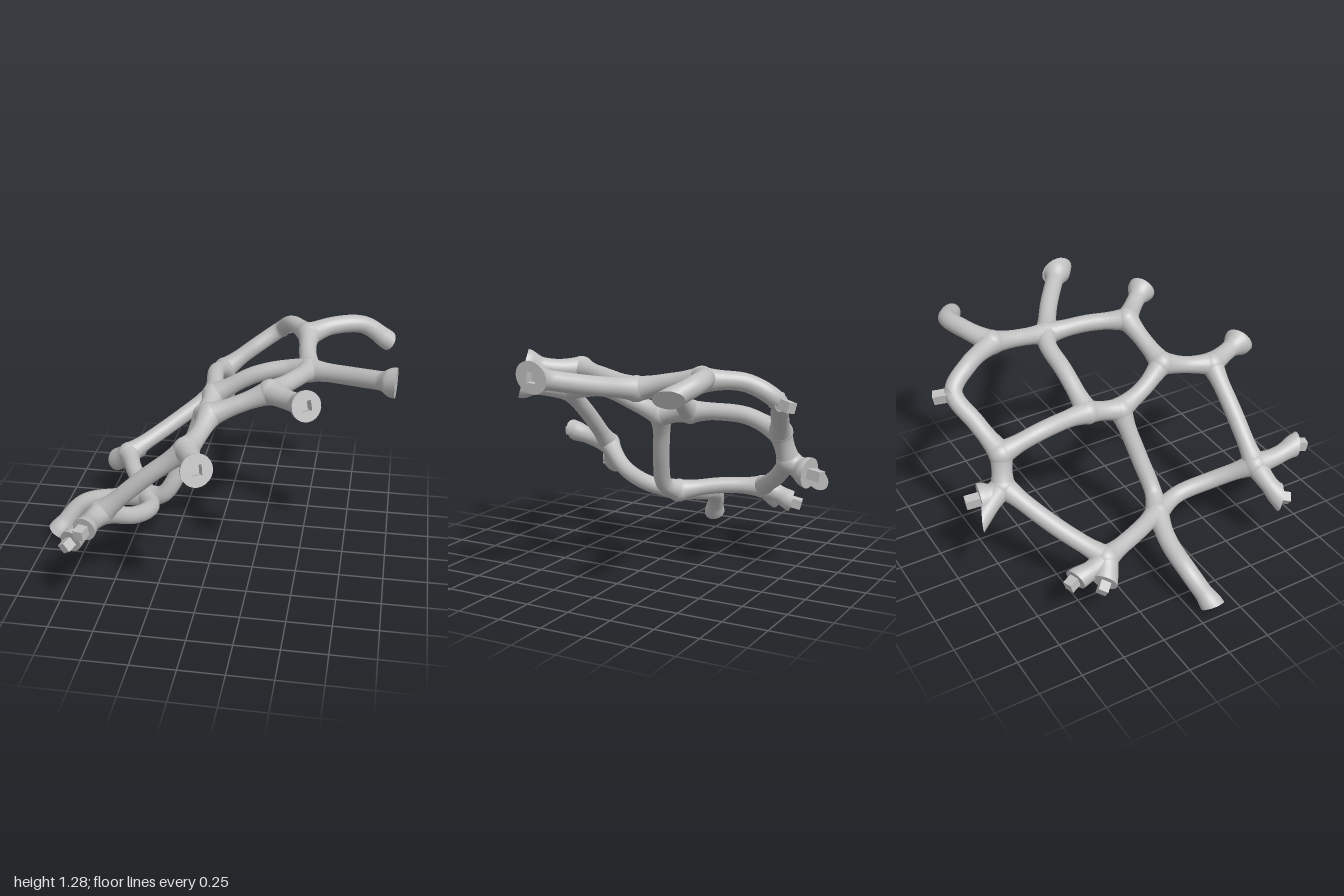
import * as THREE from 'three';

const V = (a) => new THREE.Vector3(...a);
const SIDES = 24;

// Junction points of the lattice
const N = {
  backLow: [-0.12, 0.65, -0.74], backHigh: [-0.06, 0.82, -0.71], sideLow: [-0.61, 0.35, -0.38],
  footHub: [-0.39, 0.32, 0.08], midBack: [-0.04, 0.89, -0.17], midFront: [-0.06, 0.85, 0.03],
  topBack: [0.47, 1.17, -0.49], topMid: [0.51, 1.1, -0.13],
  topFront: [0.34, 1.15, 0.31], centreFront: [0.02, 1.01, 0.35],
  frontHigh: [-0.05, 0.95, 0.65], frontLow: [-0.52, 0.53, 0.65],
};
const TOP_BEND = [0.27, 1.06, -0.82];

// Struts: start, points on the way, end
const STRUTS = [
  ['backLow', [], 'backHigh'],
  ['backHigh', [[0.1, 0.94, -0.77], TOP_BEND, [0.35, 1.15, -0.69]], 'topBack'],
  ['backHigh', [[-0.08, 0.89, -0.5], [-0.06, 0.9, -0.32]], 'midBack'],
  ['backLow', [[-0.38, 0.48, -0.56]], 'sideLow'],
  ['sideLow', [[-0.52, 0.35, -0.15]], 'footHub'],
  ['footHub', [[-0.28, 0.38, 0.12], [-0.18, 0.56, 0.09], [-0.11, 0.74, 0.05]], 'midFront'],
  ['midBack', [], 'midFront'],
  ['midBack', [[0.2, 1.03, -0.18], [0.4, 1.085, -0.175]], 'topMid'],
  ['topBack', [[0.48, 1.14, -0.3]], 'topMid'],
  ['topMid', [[0.44, 1.135, 0.1]], 'topFront'],
  ['topFront', [[0.18, 1.08, 0.33]], 'centreFront'],
  ['centreFront', [[-0.03, 0.92, 0.2]], 'midFront'],
  ['centreFront', [[-0.01, 0.97, 0.5]], 'frontHigh'],
  ['frontHigh', [[-0.28, 0.76, 0.65]], 'frontLow'],
  ['frontLow', [[-0.39, 0.41, 0.45], [-0.34, 0.35, 0.25]], 'footHub'],
];

// Free branches: path, cut-plane normal, flare, depth of square (+ peg, - socket, 0 plain)
const BRANCHES = [
  { name: 'footBranch', path: [N.footHub, [-0.6, 0.27, 0.03], [-0.8, 0.21, 0.03], [-0.945, 0.045, 0.1]], n: [-0.6, -0.8, 0.05], flare: 0.012, sq: -0.05 },
  { name: 'backBellBranch', path: [N.backLow, [-0.12, 0.62, -0.8], [-0.1, 0.6, -0.87]], n: [0.2, -0.1, -0.97], flare: 0.033, sq: 0.08 },
  { name: 'backFinBranch', path: [N.backLow, [-0.15, 0.6, -0.82], [-0.18, 0.55, -0.89]], n: [0.45, -0.1, -0.8], flare: 0, sq: 0 },
  { name: 'sidePegBranch', path: [N.sideLow, [-0.65, 0.32, -0.4], [-0.7, 0.27, -0.44]], n: [-0.6, -0.35, -0.65], flare: 0.015, sq: 0.06 },
  { name: 'backPegBranch', path: [N.sideLow, [-0.62, 0.32, -0.46], [-0.61, 0.28, -0.57]], n: [-0.3, -0.25, -0.9], flare: 0.01, sq: 0.06 },
  { name: 'topPegBranch', path: [TOP_BEND, [0.275, 1.05, -0.835], [0.28, 1.045, -0.85]], n: [0.4, -0.15, -0.9], flare: -0.02, sq: 0.08 },
  { name: 'curvedBranch', path: [N.topBack, [0.6, 1.2, -0.57], [0.78, 1.2, -0.615], [0.93, 1.14, -0.54]], n: [0.78, -0.5, -0.3], flare: 0.005, sq: 0 },
  { name: 'longSocketBranch', path: [N.topMid, [0.74, 1.14, 0.01], [0.99, 1.2, 0.2]], n: [1, 0, 0.08], flare: 0.03, sq: -0.04 },
  { name: 'upperBellBranch', path: [N.topFront, [0.45, 1.16, 0.42], [0.55, 1.19, 0.54]], n: [0.5, 0.28, 0.82], flare: 0.03, sq: -0.05 },
  { name: 'frontBellBranch', path: [N.frontHigh, [0, 0.96, 0.78], [0.05, 0.975, 0.91]], n: [0.47, 0.28, 0.85], flare: 0.033, sq: -0.05 },
  { name: 'frontPegBranch', path: [N.frontLow, [-0.54, 0.55, 0.78], [-0.54, 0.585, 0.92]], n: [-0.3, -0.15, 0.94], flare: 0.012, sq: 0.06 },
  { name: 'lowPegBranch', path: [N.frontLow, [-0.61, 0.45, 0.68], [-0.68, 0.375, 0.72]], n: [-0.4, -0.25, 0.88], flare: 0.01, sq: 0.06 },
];

// Skin a stack of closed rings
function skin(rings, flat) {
  const pos = [], index = [];
  rings.forEach((r) => r.forEach((p) => pos.push(p.x, p.y, p.z)));
  for (let i = 0; i < rings.length - 1; i++) {
    for (let j = 0; j < SIDES; j++) {
      const a = i * SIDES + j, b = i * SIDES + (j + 1) % SIDES;
      index.push(a, b, a + SIDES, b, b + SIDES, a + SIDES);
    }
  }
  let g = new THREE.BufferGeometry();
  g.setAttribute('position', new THREE.Float32BufferAttribute(pos, 3));
  g.setIndex(index);
  if (flat) g = g.toNonIndexed();
  g.computeVertexNormals();
  return g;
}

// Rings swept along a curve; an optional cut plane trims the far end
function sweep(points, radiusAt, cut) {
  const curve = new THREE.CatmullRomCurve3(points, false, 'centripetal');
  const len = curve.getLength();
  const steps = Math.max(10, Math.ceil(len / 0.015));
  const f = curve.computeFrenetFrames(steps, false);
  const end = points[points.length - 1];
  const rings = [];
  for (let i = 0; i <= steps; i++) {
    const c = curve.getPointAt(i / steps);
    const r = radiusAt(i / steps * len, len);
    const T = f.tangents[i], ring = [];
    for (let j = 0; j < SIDES; j++) {
      const a = j / SIDES * Math.PI * 2;
      const p = c.clone().addScaledVector(f.normals[i], r * Math.cos(a)).addScaledVector(f.binormals[i], r * Math.sin(a));
      if (cut) {
        const s = p.clone().sub(end).dot(cut);
        if (s > 0 || i === steps) p.addScaledVector(T, -s / Math.max(0.35, T.dot(cut)));
      }
      ring.push(p);
    }
    rings.push(ring);
  }
  return { rings, side: f.normals[steps], end };
}

// Thickening towards a junction
const fillet = (d) => 0.021 * Math.pow(Math.max(0, 1 - d / 0.16), 2);

export function createModel() {
  const model = new THREE.Group();
  const grey = new THREE.MeshStandardMaterial({ color: 0xc0c0c0 });
  grey.name = 'grey';
  const add = (parent, name, geo) => {
    const m = new THREE.Mesh(geo, grey);
    m.name = name;
    parent.add(m);
    return m;
  };

  // Rounded junctions
  const joints = new THREE.Group();
  joints.name = 'junctions';
  for (const key in N) {
    add(joints, key + 'Junction', new THREE.SphereGeometry(0.0705, 32, 20)).position.set(...N[key]);
  }
  model.add(joints);

  // Struts between junctions
  const struts = new THREE.Group();
  struts.name = 'struts';
  for (const [a, mid, b] of STRUTS) {
    const { rings } = sweep([N[a], ...mid, N[b]].map(V), (d, len) => 0.049 + fillet(d) + fillet(len - d));
    add(struts, `${a}To${b[0].toUpperCase()}${b.slice(1)}`, skin(rings, false));
  }
  model.add(struts);

  // Free branches with flared, cut ends carrying square pegs or sockets
  for (const { name, path, n, flare, sq } of BRANCHES) {
    const group = new THREE.Group();
    group.name = name;
    const cut = V(n).normalize();
    const { rings, side, end } = sweep(path.map(V), (d, len) =>
      0.052 + fillet(d) * 0.85 + flare * THREE.MathUtils.smoothstep(1 - (len - d) / 0.1, 0, 0.9), cut);
    add(group, 'branchTube', skin(rings, false));

    const u = side.clone().addScaledVector(cut, -side.dot(cut)).normalize();
    const v = cut.clone().cross(u);
    const square = (half, depth) => Array.from({ length: SIDES }, (_, j) => {
      const a = j / SIDES * Math.PI * 2, c = Math.cos(a), s = Math.sin(a);
      const r = half / Math.max(Math.abs(c), Math.abs(s));
      return end.clone().addScaledVector(u, r * c).addScaledVector(v, r * s).addScaledVector(cut, depth);
    });
    const face = [rings[rings.length - 1]];
    if (sq) face.push(square(0.028, 0), square(0.028, sq));
    face.push(square(0, sq));
    add(group, sq > 0 ? 'pegFace' : sq < 0 ? 'socketFace' : 'cutFace', skin(face, true));
    model.add(group);
  }
  return model;
}
